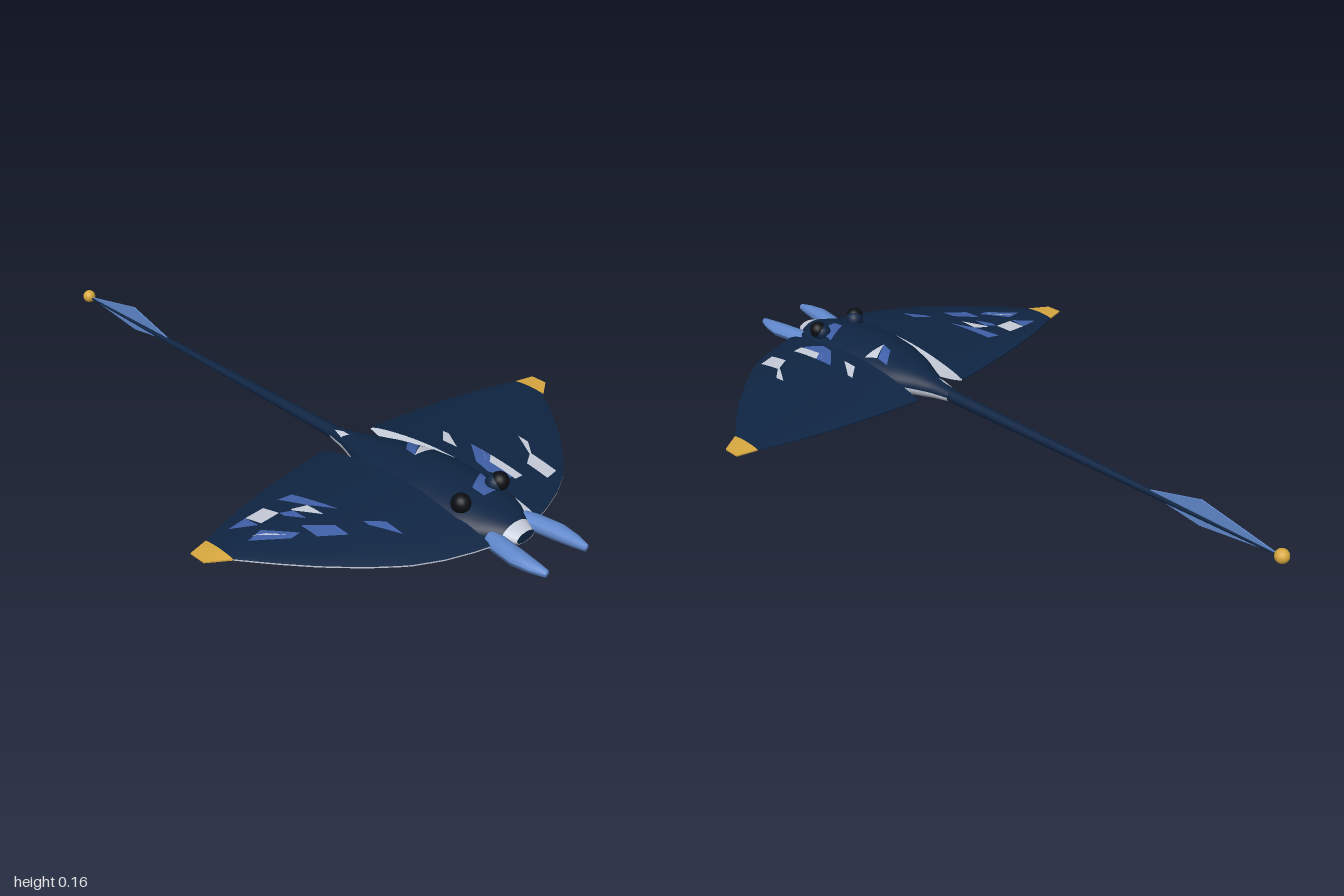
import * as THREE from 'three';

const mat = (name, color) => {
  const m = new THREE.MeshStandardMaterial({ color, side: THREE.DoubleSide });
  m.name = name;
  return m;
};

const MID = 0.068, ROOT = 0.09, BAND = 0.595, TIP = 0.655;

// Linear lookup in rows of [key, a, b, ...]
function sample(rows, k, col) {
  if (k <= rows[0][0]) return rows[0][col];
  for (let i = 1; i < rows.length; i++) {
    const a = rows[i - 1], b = rows[i];
    if (k <= b[0]) return a[col] + (b[col] - a[col]) * (k - a[0]) / (b[0] - a[0]);
  }
  return rows[rows.length - 1][col];
}

// Body stations: z, half width, top y, bottom y
const BODY = [
  [0.19, 0.02, 0.085, 0.05], [0.25, 0.032, 0.095, 0.04], [0.31, 0.055, 0.107, 0.03],
  [0.38, 0.088, 0.118, 0.019], [0.47, 0.115, 0.129, 0.007], [0.57, 0.128, 0.135, 0],
  [0.66, 0.126, 0.13, 0.006], [0.73, 0.115, 0.122, 0.016], [0.79, 0.088, 0.111, 0.029],
  [0.83, 0.055, 0.1, 0.042], [0.87, 0.033, 0.086, 0.055],
];

// Wing stations: x, leading z, trailing z
const WING = [
  [0.09, 0.838, 0.24], [0.14, 0.825, 0.245], [0.22, 0.797, 0.256], [0.3, 0.755, 0.268],
  [0.38, 0.69, 0.283], [0.46, 0.612, 0.302], [0.53, 0.532, 0.322], [0.595, 0.45, 0.345],
  [0.655, 0.41, 0.36],
];

// Smooth sheet sampled from f(u, v) -> [x, y, z]
function sheet(f, nu, nv) {
  const pos = [], idx = [];
  for (let i = 0; i <= nu; i++) for (let j = 0; j <= nv; j++) pos.push(...f(i / nu, j / nv));
  for (let i = 0; i < nu; i++) for (let j = 0; j < nv; j++) {
    const a = i * (nv + 1) + j, b = a + nv + 1;
    idx.push(a, b, a + 1, b, b + 1, a + 1);
  }
  const g = new THREE.BufferGeometry();
  g.setAttribute('position', new THREE.Float32BufferAttribute(pos, 3));
  g.setIndex(idx);
  g.computeVertexNormals();
  return g;
}

// Wing half thickness at span x and chord fraction v
function wingHeight(x, v, up) {
  const span = (TIP - x) / (TIP - ROOT);
  return 0.002 + (up ? 0.046 : 0.04) * span * Math.pow(Math.max(0, Math.sin(Math.PI * v)), 0.8);
}

function wingPoint(side, x, v, up) {
  const lead = sample(WING, x, 1), trail = sample(WING, x, 2);
  return [side * x, MID + (up ? 1 : -1) * wingHeight(x, v, up), trail + (lead - trail) * v];
}

function bodyPoint(z, angle) {
  const s = Math.sin(angle);
  const h = s >= 0 ? sample(BODY, z, 2) - MID : MID - sample(BODY, z, 3);
  return [Math.cos(angle) * sample(BODY, z, 1), MID + s * h, z];
}

// Height of the back at any point, for laying on markings
function backHeight(x, z) {
  let y = 0;
  const ax = Math.abs(x), w = sample(BODY, z, 1);
  if (ax < w) y = MID + (sample(BODY, z, 2) - MID) * Math.sqrt(1 - (ax / w) ** 2);
  if (ax >= ROOT) {
    const lead = sample(WING, ax, 1), trail = sample(WING, ax, 2);
    const v = THREE.MathUtils.clamp((z - trail) / (lead - trail), 0, 1);
    y = Math.max(y, MID + wingHeight(ax, v, true));
  }
  return y + 0.0025;
}

// Markings as corners x,z of quads; a repeated corner makes a triangle
const BLUE_MARKS = [
  [0, 0.49, 0.01, 0.45, 0.06, 0.41, 0.06, 0.45],
  [0, 0.73, 0, 0.69, 0.08, 0.65, 0.06, 0.73],
  [0.11, 0.65, 0.12, 0.6, 0.18, 0.53, 0.18, 0.6],
  [0.11, 0.65, 0.15, 0.61, 0.15, 0.7, 0.14, 0.7],
  [-0.53, 0.355, -0.47, 0.35, -0.47, 0.4, -0.47, 0.4],
  [-0.36, 0.35, -0.32, 0.36, -0.29, 0.5, -0.33, 0.43],
  [-0.53, 0.43, -0.48, 0.42, -0.42, 0.5, -0.45, 0.5],
  [-0.4, 0.48, -0.34, 0.54, -0.34, 0.59, -0.4, 0.54],
  [-0.28, 0.58, -0.24, 0.62, -0.24, 0.68, -0.28, 0.6],
  [-0.4, 0.4, -0.37, 0.42, -0.37, 0.47, -0.4, 0.42],
];
const PALE_MARKS = [
  [0, 0.49, 0.06, 0.455, 0.08, 0.49, 0, 0.49],
  [0.135, 0.52, 0.135, 0.47, 0.18, 0.43, 0.18, 0.45],
  [0.15, 0.61, 0.18, 0.57, 0.18, 0.71, 0.15, 0.71],
  [0.235, 0.75, 0.235, 0.68, 0.285, 0.65, 0.285, 0.74],
  [0.28, 0.65, 0.325, 0.575, 0.325, 0.61, 0.28, 0.66],
  [-0.47, 0.35, -0.41, 0.35, -0.4, 0.4, -0.46, 0.4],
  [-0.37, 0.41, -0.33, 0.43, -0.33, 0.49, -0.37, 0.42],
  [-0.51, 0.42, -0.48, 0.44, -0.44, 0.49, -0.48, 0.45],
  [-0.025, 0.24, -0.012, 0.2, -0.008, 0.23, -0.012, 0.26],
];

export function createModel() {
  const navy = mat('deep navy', 0x0f2543), pale = mat('pale grey', 0xc6ccd9);
  const blue = mat('marking blue', 0x4060a8), sky = mat('lobe blue', 0x6088cc);
  const gold = mat('gold', 0xd8a840), black = mat('eye black', 0x0b0e13);
  const group = new THREE.Group();
  const add = (name, geometry, material, x = 0, y = 0, z = 0) => {
    const m = new THREE.Mesh(geometry, material);
    m.name = name;
    m.position.set(x, y, z);
    group.add(m);
    return m;
  };

  // Body: dark back, pale belly and pale snout
  const hull = (z0, z1, a0, a1) => sheet((u, v) => bodyPoint(z0 + (z1 - z0) * u, a0 + (a1 - a0) * v), 36, 20);
  add('back', hull(0.19, 0.835, 0, Math.PI), navy);
  add('snout', hull(0.835, 0.87, 0, Math.PI), pale);
  add('belly', hull(0.19, 0.87, Math.PI, 2 * Math.PI), pale);
  const mouth = new THREE.CircleGeometry(1, 16);
  mouth.scale(0.033, 0.015, 1);
  add('mouth', mouth, navy, 0, 0.071, 0.87);

  for (const s of [1, -1]) {
    const label = s > 0 ? 'left' : 'right';
    // Wings with gold tips and a pale rim
    for (const up of [true, false]) {
      const part = (x0, x1, n) => sheet((u, v) => wingPoint(s, x0 + (x1 - x0) * u, v, up), n, 18);
      const face = up ? 'Top' : 'Underside';
      add(label + 'Wing' + face, part(ROOT, BAND, 20), up ? navy : pale);
      add(label + 'WingTip' + face, part(BAND, TIP, 3), gold);
    }
    for (const v of [0, 1]) {
      const rim = (x0, x1) => sheet((u, t) => wingPoint(s, x0 + (x1 - x0) * u, v, t > 0.5), 20, 1);
      add(label + 'WingRim', rim(ROOT, BAND), v ? pale : navy);
      add(label + 'TipRim', rim(BAND, TIP), gold);
    }
    add(label + 'TipEnd', sheet((u, t) => wingPoint(s, TIP, u, t > 0.5), 4, 1), gold);

    // Head lobe: z, centre x, half width, half height
    const lobe = [[0.81, 0.066, 0.022, 0.02], [0.84, 0.07, 0.027, 0.023], [0.91, 0.08, 0.027, 0.022],
      [0.96, 0.08, 0.019, 0.017], [0.998, 0.077, 0.009, 0.011], [1, 0.077, 0, 0]];
    add(label + 'HeadLobe', sheet((u, v) => {
      const [z, x, w, h] = lobe[Math.round(u * 5)], a = v * 2 * Math.PI;
      return [s * (x + w * Math.cos(a)), 0.067 + h * Math.sin(a), z];
    }, 5, 10), sky);

    // Eyes on low mounds
    add(label + 'EyeMound', new THREE.SphereGeometry(0.027, 16, 10), navy, s * 0.066, 0.122, 0.71);
    add(label + 'Eye', new THREE.SphereGeometry(0.026, 16, 12), black, s * 0.074, 0.13, 0.718);
  }

  // Markings laid on the back
  for (const [name, list, material] of [['blueMarking', BLUE_MARKS, blue], ['paleMarking', PALE_MARKS, pale]]) {
    for (const q of list) {
      add(name, sheet((u, v) => {
        const mix = k => (q[k] * (1 - u) + q[k + 2] * u) * (1 - v) + (q[k + 6] * (1 - u) + q[k + 4] * u) * v;
        const x = mix(0), z = mix(1);
        return [x, backHeight(x, z), z];
      }, 5, 5), material);
    }
  }

  // Tail, its upright fin and the end ball
  const tail = new THREE.CylinderGeometry(0.004, 0.021, 1.19, 10);
  tail.rotateX(-Math.PI / 2);
  tail.scale(1, 0.88, 1);
  add('tail', tail, navy, 0, MID, -0.375);
  const fin = new THREE.Shape([[-0.54, 0.07], [-0.73, 0.12], [-0.97, 0.07], [-0.73, 0.042]]
    .map(([z, y]) => new THREE.Vector2(-z, y)));
  const finGeo = new THREE.ExtrudeGeometry(fin, { depth: 0.004, bevelEnabled: false });
  finGeo.translate(0, 0, -0.002);
  finGeo.rotateY(Math.PI / 2);
  add('tailFin', finGeo, sky);
  add('tailBall', new THREE.SphereGeometry(0.02, 16, 12), gold, 0, 0.07, -0.98);

  return group;
}
